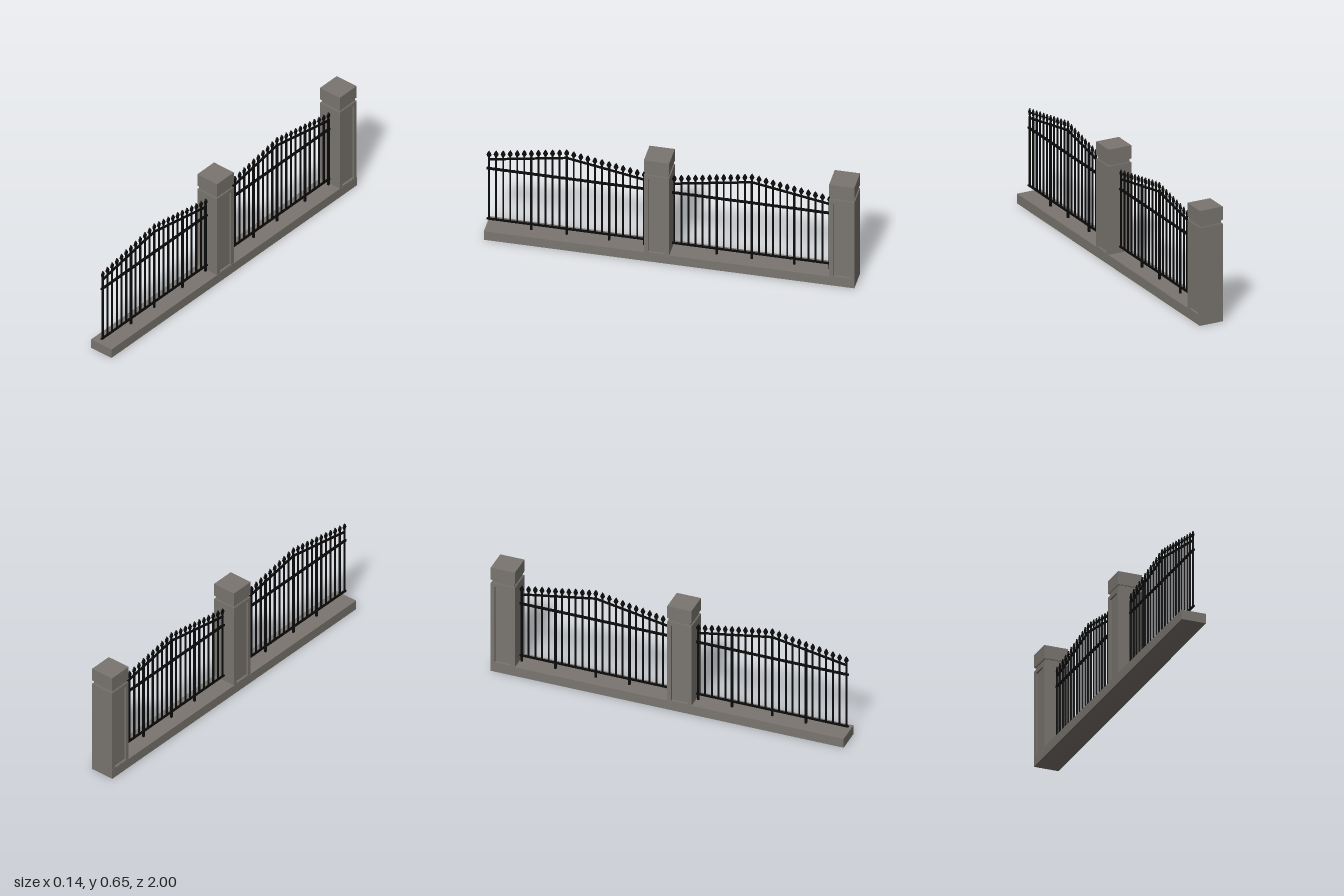
import * as THREE from 'three';

const stone = new THREE.MeshStandardMaterial({ color: 0x7a756f });
stone.name = 'stone';
const iron = new THREE.MeshStandardMaterial({ color: 0x0a0a0a });
iron.name = 'black iron';

const BASE_TOP = 0.055;
const SPACING = 0.0381;
const BARS = 23;

function add(parent, name, geometry, material, x = 0, y = 0, z = 0) {
  const mesh = new THREE.Mesh(geometry, material);
  mesh.name = name;
  mesh.position.set(x, y, z);
  parent.add(mesh);
  return mesh;
}

// Box given by its bottom and top heights, centred on x and z
function block(parent, name, material, w, d, y0, y1, z = 0) {
  return add(parent, name, new THREE.BoxGeometry(w, y1 - y0, d), material, 0, (y0 + y1) / 2, z);
}

function rectangle(path, x0, y0, x1, y1) {
  path.moveTo(x0, y0);
  path.lineTo(x1, y0);
  path.lineTo(x1, y1);
  path.lineTo(x0, y1);
  path.closePath();
  return path;
}

// Stone pillar with a recessed panel on each long side of the fence
function makePillar() {
  const pillar = new THREE.Group();
  pillar.name = 'pillar';
  const half = 0.0685, recess = 0.01, top = 0.553;
  block(pillar, 'pillarCore', stone, 2 * (half - recess), 2 * half, BASE_TOP, top);

  const frame = rectangle(new THREE.Shape(), -half, BASE_TOP, half, top);
  frame.holes.push(rectangle(new THREE.Path(), -0.046, BASE_TOP + 0.005, 0.046, 0.533));
  const frameGeo = new THREE.ExtrudeGeometry(frame, { depth: recess, bevelEnabled: false });
  for (const side of [1, -1]) {
    const panel = add(pillar, 'panelFrame', frameGeo, stone, side * (half - recess));
    panel.rotation.y = side * Math.PI / 2;
  }

  block(pillar, 'neck', stone, 0.123, 0.123, top, 0.575);
  block(pillar, 'neckLowerStep', stone, 0.131, 0.131, top, 0.556);
  block(pillar, 'neckUpperStep', stone, 0.131, 0.131, 0.572, 0.575);
  block(pillar, 'cap', stone, 2 * half, 2 * half, 0.575, 0.65);
  return pillar;
}

// Flat leaf-shaped spearhead, its base at y = 0
function makeSpearGeometry() {
  const s = new THREE.Shape();
  s.moveTo(-0.004, 0);
  s.lineTo(0.004, 0);
  s.lineTo(0.006, 0.006);
  s.lineTo(0.013, 0.019);
  s.lineTo(0.008, 0.032);
  s.lineTo(0, 0.044);
  s.lineTo(-0.008, 0.032);
  s.lineTo(-0.013, 0.019);
  s.lineTo(-0.006, 0.006);
  s.closePath();
  const geo = new THREE.ExtrudeGeometry(s, { depth: 0.006, bevelEnabled: false });
  return geo.translate(0, 0, -0.003).rotateY(Math.PI / 2);
}

// Iron fence section with a gabled top rail
function makeSection() {
  const section = new THREE.Group();
  section.name = 'fenceSection';
  const mid = (BARS - 1) / 2, span = mid * SPACING;
  const lowRail = 0.475, peakRail = 0.55;
  const railHeight = (z) => peakRail - (peakRail - lowRail) * Math.abs(z) / span;
  const spearGeo = makeSpearGeometry();
  const posts = [5, 0, -6, -11];

  // Uprights; a few thicker ones reach down to the plinth
  for (let i = -mid; i <= mid; i++) {
    const z = i * SPACING;
    const isPost = posts.includes(i);
    const w = isPost ? 0.011 : 0.008;
    const spearBase = railHeight(z) + 0.011;
    block(section, isPost ? 'post' : 'bar', iron, w, w, isPost ? BASE_TOP : 0.088, spearBase, z);
    add(section, 'spearhead', spearGeo, iron, 0, spearBase, z);
  }

  // Level rails
  block(section, 'middleRail', iron, 0.011, 0.863, 0.411, 0.422);
  block(section, 'bottomRail', iron, 0.011, 0.863, 0.086, 0.094);

  // Two sloping rails meeting at the peak
  const slope = Math.atan2(peakRail - lowRail, span);
  const length = Math.hypot(span, peakRail - lowRail) + 0.008;
  for (const side of [1, -1]) {
    const rail = add(section, 'topRail', new THREE.BoxGeometry(0.01, 0.009, length), iron,
      0, (lowRail + peakRail) / 2, side * span / 2);
    rail.rotation.x = side * slope;
  }
  return section;
}

export function createModel() {
  const model = new THREE.Group();
  model.name = 'fence';
  block(model, 'plinth', stone, 0.14, 2, 0, BASE_TOP);
  for (const offset of [0, -1]) {
    const pillar = makePillar();
    pillar.position.z = offset + 0.0685;
    const section = makeSection();
    section.position.z = offset + 0.5685;
    model.add(pillar, section);
  }
  return model;
}
